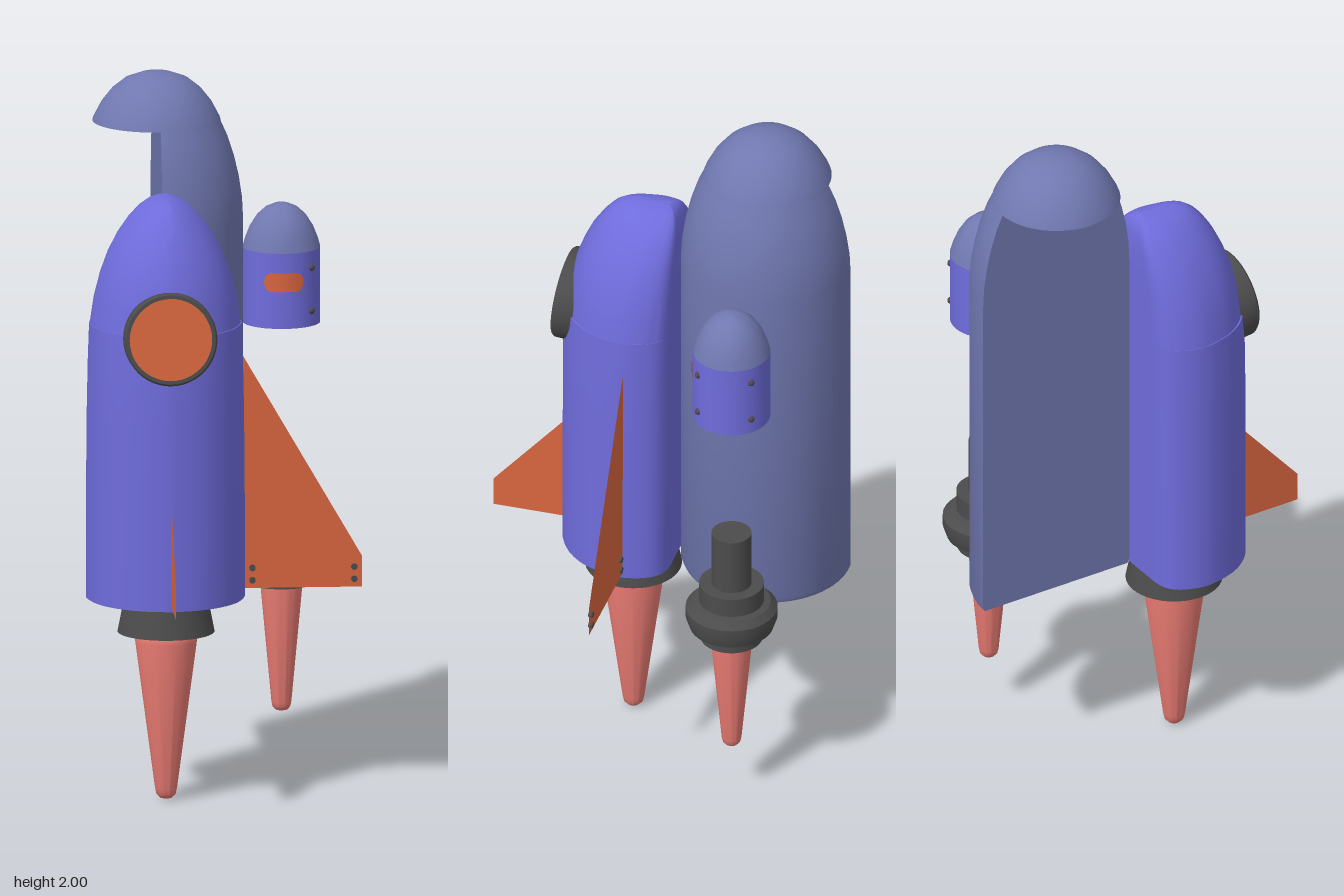
import * as THREE from 'three';
import { toCreasedNormals } from 'three/addons/utils/BufferGeometryUtils.js';

const mat = (color) => new THREE.MeshStandardMaterial({ color, side: THREE.DoubleSide });
const blue = mat(0x6f6cdc), slate = mat(0x7078b0), orange = mat(0xd9663f);
const dark = mat(0x4c4c4c), flameRed = mat(0xe87a72);
const vec = (pts) => pts.map(([x, y]) => new THREE.Vector2(x, y));
const CX = -0.167, TANK_Z = -0.277, BOOST_X = 0.184;

export function createModel() {
  const model = new THREE.Group();

  function add(parent, name, geo, material, x = 0, y = 0, z = 0) {
    const mesh = new THREE.Mesh(geo, material);
    mesh.name = name;
    mesh.position.set(x, y, z);
    parent.add(mesh);
    return mesh;
  }
  const group = (name, x = 0, y = 0, z = 0) => {
    const g = new THREE.Group();
    g.name = name;
    g.position.set(x, y, z);
    model.add(g);
    return g;
  };
  // Turned part from a bottom-to-top profile, with sharp steps kept
  const turned = (pts, start = 0, sweep = Math.PI * 2) =>
    toCreasedNormals(new THREE.LatheGeometry(vec(pts), sweep < 6 ? 32 : 48, start, sweep), 0.6);

  // Tank: half a turned body with a flat cut side, under a full nose cap
  const tank = group('tank', CX, 0, TANK_Z);
  const tankProfile = [[0, 0.575], [0.237, 0.575], [0.243, 0.59], [0.243, 1.58], [0.24, 1.64],
    [0.231, 1.7], [0.217, 1.76], [0.199, 1.815], [0.178, 1.862]];
  add(tank, 'tankBody', turned([...tankProfile, [0, 1.862]], 0, Math.PI), slate);
  const half = tankProfile.slice(1);
  const cut = new THREE.Shape(vec([...half, ...half.map(([r, y]) => [-r, y]).reverse()]));
  add(tank, 'tankCutFace', new THREE.ShapeGeometry(cut).rotateY(-Math.PI / 2), slate);
  add(tank, 'noseCap', turned([[0, 1.862], [0.18, 1.862], [0.176, 1.873], [0.155, 1.913], [0.125, 1.951],
    [0.09, 1.979], [0.045, 1.996], [0, 2]]), slate);

  // Shuttle hull: one D-shaped cross-section lofted through rows of [y, halfWidth, zBack, zFront]
  const side = new THREE.SplineCurve(vec([[0, 0], [0.35, 0], [0.66, 0.005], [0.85, 0.07], [0.96, 0.2],
    [1, 0.34], [0.96, 0.5], [0.85, 0.68], [0.64, 0.84], [0.34, 0.955], [0, 1]])).getPoints(30);
  const section = [...side, ...side.slice(1, -1).reverse().map((p) => new THREE.Vector2(-p.x, p.y))];
  function loft(rows) {
    const pos = [], idx = [], n = section.length;
    for (const [y, w, zb, zf] of rows)
      for (const p of section) pos.push(p.x * w, y, zb + p.y * (zf - zb));
    for (let r = 0; r < rows.length - 1; r++)
      for (let i = 0; i < n; i++) {
        const a = r * n + i, b = r * n + (i + 1) % n;
        idx.push(a, a + n, b, b, a + n, b + n);
      }
    // end caps
    for (const r of [0, rows.length - 1]) {
      const c = pos.length / 3, [y, , zb, zf] = rows[r];
      pos.push(0, y, (zb + zf) / 2);
      for (let i = 0; i < n; i++) {
        const a = r * n + i, b = r * n + (i + 1) % n;
        if (r === 0) idx.push(c, a, b);
        else idx.push(c, b, a);
      }
    }
    const geo = new THREE.BufferGeometry();
    geo.setAttribute('position', new THREE.Float32BufferAttribute(pos, 3));
    geo.setIndex(idx);
    return toCreasedNormals(geo, 0.55);
  }
  const shuttle = group('shuttle', CX, 0, 0);
  add(shuttle, 'hull', loft([[0.575, 0.223, -0.03, 0.315], [0.85, 0.223, -0.03, 0.315],
    [1.1, 0.221, -0.03, 0.315], [1.25, 0.218, -0.03, 0.314], [1.358, 0.214, -0.03, 0.308]]), blue);
  add(shuttle, 'cabin', loft([[1.358, 0.212, -0.03, 0.302], [1.43, 0.201, -0.03, 0.293],
    [1.5, 0.183, -0.03, 0.277], [1.56, 0.16, -0.03, 0.254], [1.61, 0.133, -0.029, 0.23],
    [1.65, 0.104, -0.026, 0.203], [1.68, 0.075, -0.02, 0.177], [1.7, 0.045, -0.01, 0.15],
    [1.71, 0.012, 0.005, 0.115]]), blue);

  // Round porthole, leaning slightly upward
  const porthole = new THREE.Group();
  porthole.name = 'porthole';
  porthole.position.set(0, 1.355, 0.318);
  porthole.rotation.x = -0.1;
  shuttle.add(porthole);
  add(porthole, 'portholeRim', turned([[0.118, -0.09], [0.131, -0.05], [0.131, -0.006], [0.126, 0],
    [0.116, 0], [0.116, -0.006]]).rotateX(Math.PI / 2), dark);
  add(porthole, 'portholeGlass', new THREE.CircleGeometry(0.117, 48), orange, 0, 0, -0.003);

  // Thin fins: one at the side, one at the front
  const fin = (pts) => new THREE.ShapeGeometry(new THREE.Shape(vec(pts)));
  add(model, 'sideFin', fin([[0.05, 0.592], [0.386, 0.592], [0.386, 0.68], [0.05, 1.26]]), orange, 0, 0, 0.08);
  add(shuttle, 'frontFin', fin([[0.3, 0.595], [0.525, 0.595], [0.525, 0.68], [0.3, 0.937]]).rotateY(-Math.PI / 2), orange);
  for (const x of [0.078, 0.364])
    for (const y of [0.615, 0.65])
      add(model, 'finRivet', new THREE.CylinderGeometry(0.009, 0.009, 0.012, 16).rotateX(Math.PI / 2), dark, x, y, 0.08);

  // Main engine and its flame
  add(shuttle, 'mainNozzle', turned([[0, 0.48], [0.136, 0.48], [0.117, 0.577], [0, 0.577]]), dark, 0, 0, 0.115);
  add(shuttle, 'mainFlame', turned([[0, 0], [0.017, 0.004], [0.027, 0.014], [0.031, 0.032],
    [0.087, 0.455], [0.086, 0.47], [0.08, 0.482]]), flameRed, 0, 0, 0.115);

  // Booster: floating nose section above a stepped engine
  const booster = group('booster', BOOST_X, 0, TANK_Z);
  add(booster, 'boosterShell', turned([[0, 1.28], [0.109, 1.28], [0.109, 1.495]]), blue);
  add(booster, 'boosterNose', turned([[0.109, 1.495], [0.102, 1.52], [0.089, 1.553], [0.069, 1.585],
    [0.045, 1.607], [0.02, 1.618], [0, 1.62]]), slate);
  const slot = new THREE.CylinderGeometry(0.113, 0.113, 0.054, 32, 1, true, -0.52, 1.04);
  const p = slot.attributes.position;
  for (let i = 0; i < p.count; i++) { // round the two ends
    const t = Math.max(0, Math.abs(Math.atan2(p.getX(i), p.getZ(i))) - 0.3) / 0.22;
    p.setY(i, p.getY(i) * Math.sqrt(Math.max(0, 1 - t * t)));
  }
  add(booster, 'boosterWindow', slot, orange, 0, 1.413, 0);
  for (const a of [0.82, 2.39])
    for (const y of [1.325, 1.448])
      add(booster, 'boosterRivet', new THREE.SphereGeometry(0.01, 16, 10), dark, 0.108 * Math.sin(a), y, 0.108 * Math.cos(a));
  add(booster, 'boosterEngine', turned([[0, 0.53], [0.088, 0.53], [0.088, 0.57], [0.118, 0.57], [0.129, 0.602],
    [0.129, 0.632], [0.11, 0.652], [0.091, 0.655], [0.091, 0.712], [0.056, 0.712], [0.056, 0.88], [0, 0.88]]), dark);
  add(booster, 'boosterFlame', turned([[0, 0.165], [0.017, 0.169], [0.025, 0.178], [0.028, 0.192],
    [0.058, 0.515], [0.058, 0.532]]), flameRed);

  return model;
}
